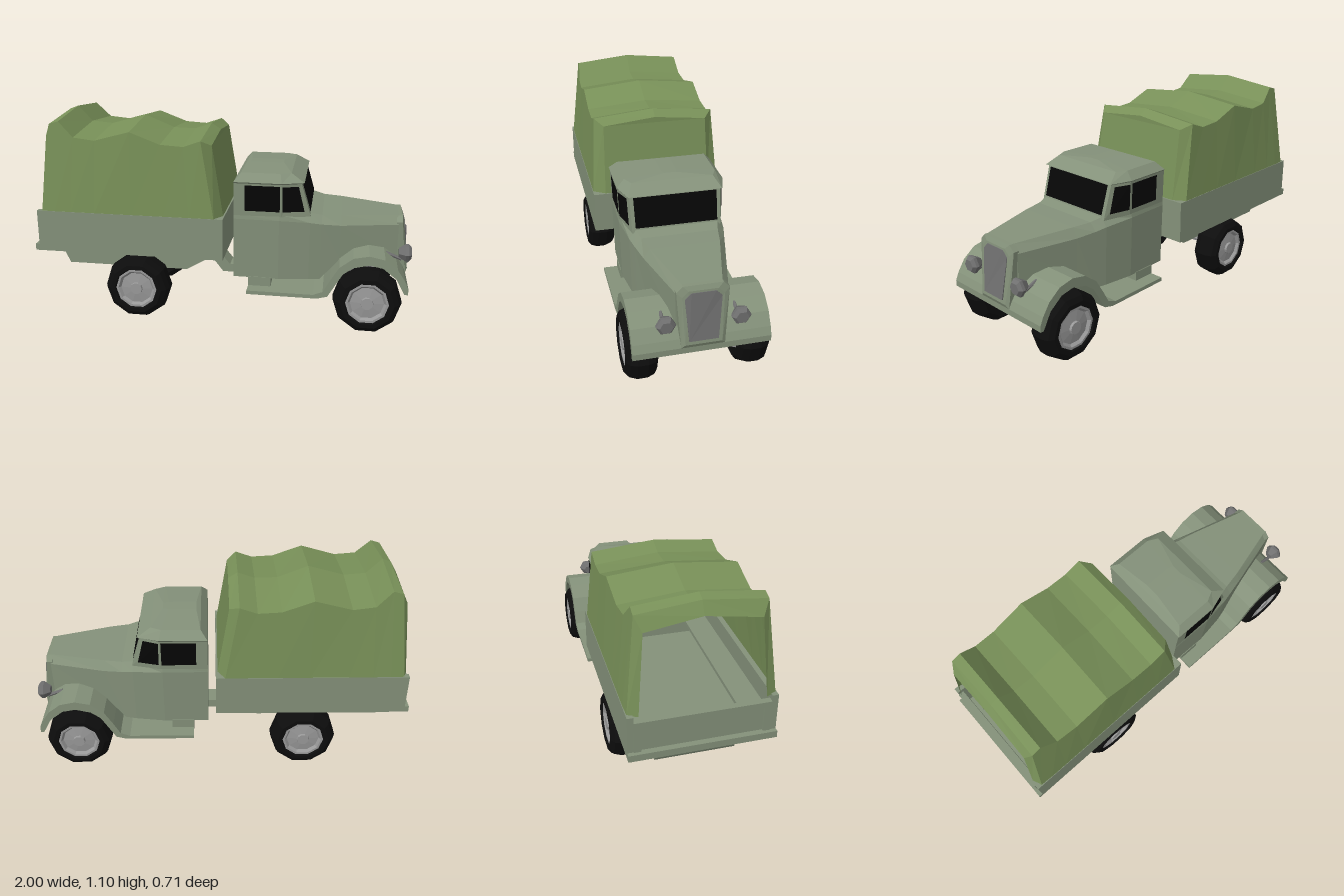
import * as THREE from 'three';

const mat = (name, color, side = THREE.FrontSide) => {
  const m = new THREE.MeshStandardMaterial({ color, side });
  m.name = name;
  return m;
};
const V = (x, y, z) => new THREE.Vector3(x, y, z);

// Faceted copy of a geometry
function flat(g) {
  const f = g.index ? g.toNonIndexed() : g;
  f.computeVertexNormals();
  return f;
}

// Skin through rings of points; closed rings get end caps and face outward
function loft(rings, closed = true) {
  const n = rings[0].length, t = [];
  for (let r = 0; r < rings.length - 1; r++) {
    for (let i = 0; i < (closed ? n : n - 1); i++) {
      const j = (i + 1) % n, a = rings[r], b = rings[r + 1];
      t.push([a[i], a[j], b[j]], [a[i], b[j], b[i]]);
    }
  }
  if (closed) {
    const a = rings[0], b = rings[rings.length - 1];
    for (let i = 1; i < n - 1; i++) t.push([a[0], a[i + 1], a[i]], [b[0], b[i], b[i + 1]]);
  }
  let volume = 0;
  for (const [a, b, c] of t) volume += a.dot(b.clone().cross(c));
  if (volume < 0) t.forEach((f) => f.reverse());
  return flat(new THREE.BufferGeometry().setFromPoints(t.flat()));
}

// Side outline extruded to a half width on both sides of the centre line
function slab(points, half) {
  const shape = new THREE.Shape(points.map(([x, y]) => new THREE.Vector2(x, y)));
  const g = new THREE.ExtrudeGeometry(shape, { depth: half * 2, bevelEnabled: false });
  return flat(g.translate(0, 0, -half));
}

export function createModel() {
  const root = new THREE.Group();
  root.name = 'truck';
  const body = mat('body grey green', 0x84917a);
  const cloth = mat('canvas green', 0x789058, THREE.DoubleSide);
  const rubber = mat('tyre black', 0x0d0d0d);
  const steel = mat('rim grey', 0x999999);
  const grey = mat('grille grey', 0x707070);
  const glass = mat('window black', 0x060606, THREE.DoubleSide);

  const add = (name, geo, m, parent = root) => {
    const mesh = new THREE.Mesh(geo, m);
    mesh.name = name;
    parent.add(mesh);
    return mesh;
  };
  // Box given by its limits
  const box = (name, x0, x1, y0, y1, z0, z1, m = body) =>
    add(name, new THREE.BoxGeometry(x1 - x0, y1 - y0, z1 - z0)
      .translate((x0 + x1) / 2, (y0 + y1) / 2, (z0 + z1) / 2), m);

  // Lower cab and tapering bonnet: x, top half width, half width, shoulder, top, bottom
  const hull = [
    [0.07, 0.262, 0.265, 0.58, 0.61, 0.25],
    [0.31, 0.262, 0.268, 0.58, 0.615, 0.25],
    [0.47, 0.21, 0.245, 0.57, 0.615, 0.25],
    [0.53, 0.195, 0.23, 0.56, 0.602, 0.25],
    [0.63, 0.175, 0.205, 0.55, 0.6, 0.36],
    [0.93, 0.095, 0.125, 0.545, 0.588, 0.36],
  ].map(([x, t, w, s, top, b]) => [
    V(x, top, t), V(x, s, w), V(x, b, w * 0.96), V(x, b, -w * 0.96), V(x, s, -w), V(x, top, -t)]);
  add('cabAndBonnet', loft(hull), body);

  // Upper cab and roof: y, back x, middle x, front x, half width, front half width
  const roof = [
    [0.6, 0.07, 0.32, 0.472, 0.264, 0.228],
    [0.775, 0.07, 0.32, 0.42, 0.271, 0.232],
    [0.782, 0.07, 0.32, 0.435, 0.276, 0.24],
    [0.825, 0.105, 0.31, 0.365, 0.237, 0.21],
    [0.836, 0.13, 0.28, 0.31, 0.04, 0.03],
  ].map(([y, b, m, f, w, wf]) => [
    V(b, y, w), V(m, y, w), V(f, y, wf), V(f, y, -wf), V(m, y, -w), V(b, y, -w)]);
  add('upperCab', loft(roof), body);

  // Window panes laid just outside the upper cab faces
  const pane = (name, i, u0, u1, v0, v1) => {
    const [lo, hi] = roof;
    const at = (u, v) => lo[i].clone().lerp(lo[i + 1], u).lerp(hi[i].clone().lerp(hi[i + 1], u), v);
    const q = [at(u0, v0), at(u1, v0), at(u1, v1), at(u0, v1)];
    const n = q[1].clone().sub(q[0]).cross(q[3].clone().sub(q[0])).normalize();
    q.forEach((p) => p.addScaledVector(n, 0.004));
    add(name, flat(new THREE.BufferGeometry().setFromPoints([q[0], q[1], q[2], q[0], q[2], q[3]])), glass);
  };
  pane('leftDoorWindow', 0, 0.24, 0.97, 0.16, 0.95);
  pane('leftQuarterWindow', 1, 0.04, 0.82, 0.16, 0.93);
  pane('windscreen', 2, 0.04, 0.96, 0.13, 0.98);
  pane('rightQuarterWindow', 3, 0.18, 0.96, 0.16, 0.93);
  pane('rightDoorWindow', 4, 0.03, 0.76, 0.16, 0.95);

  // Front fenders flowing into the running boards
  add('fendersAndRunningBoards', slab([
    [0.15, 0.205], [0.5, 0.205], [0.55, 0.225], [0.585, 0.29], [0.63, 0.365], [0.7, 0.42], [0.78, 0.437],
    [0.86, 0.42], [0.925, 0.37], [0.965, 0.31], [0.983, 0.27], [0.983, 0.238], [0.965, 0.238],
    [0.92, 0.32], [0.85, 0.375], [0.78, 0.388], [0.7, 0.368], [0.65, 0.33], [0.615, 0.27], [0.575, 0.2],
    [0.52, 0.185], [0.15, 0.185],
  ], 0.333), body);
  for (const s of [1, -1]) {
    const z = [s * 0.12, s * 0.26].sort((a, b) => a - b);
    box('runningBoardBracket', 0.15, 0.27, 0.2, 0.255, z[0], z[1]);
  }

  // Grille: frame, chamfered lip and inset panel
  const trap = (x0, x1, yb, yt, wb, wt) => [
    V(x0, yb, wb), V(x1, yt - 0.03, wt), V(x1, yt, wt - 0.03),
    V(x1, yt, -wt + 0.03), V(x1, yt - 0.03, -wt), V(x0, yb, -wb)];
  add('grilleFrame', loft([
    trap(0.91, 0.92, 0.27, 0.588, 0.105, 0.125),
    trap(0.983, 0.95, 0.27, 0.588, 0.105, 0.125),
    trap(0.992, 0.96, 0.29, 0.565, 0.088, 0.1),
  ]), body);
  add('grillePanel', loft([
    trap(0.985, 0.95, 0.31, 0.555, 0.07, 0.088),
    trap(0.995, 0.964, 0.31, 0.555, 0.07, 0.088),
  ]), grey);

  // Headlights on short stalks
  for (const s of [1, -1]) {
    const lamp = new THREE.Group();
    lamp.name = 'headlight';
    lamp.position.set(0.97, 0.41, s * 0.178);
    root.add(lamp);
    const shell = new THREE.LatheGeometry([[0, -0.035], [0.024, -0.035], [0.047, 0], [0.047, 0.015], [0.032, 0.03], [0, 0.03]]
      .map(([r, y]) => new THREE.Vector2(r, y)), 6);
    add('lampShell', flat(shell.rotateY(Math.PI / 6).rotateZ(-Math.PI / 2).rotateX(Math.PI / 2)), grey, lamp);
    add('lampStalk', flat(new THREE.CylinderGeometry(0.009, 0.009, 0.09, 6).rotateZ(1.2).translate(-0.06, -0.02, 0)), grey, lamp);
  }

  // Chassis
  add('chassisBeam', slab([[-0.12, 0.32], [-0.02, 0.19], [0.27, 0.19], [0.27, 0.235], [0.02, 0.235], [-0.05, 0.32]], 0.055), body);
  add('underBody', slab([[-0.93, 0.38], [-0.87, 0.25], [-0.2, 0.25], [0.025, 0.38]], 0.2), body);

  // Load bed
  box('bedFloor', -0.97, 0.02, 0.375, 0.4, -0.34, 0.34);
  box('bedFrontWall', -0.005, 0.027, 0.375, 0.6, -0.33, 0.33);
  for (const s of [1, -1]) {
    const span = (a, b) => (s > 0 ? [a, b] : [-b, -a]);
    box('bedSide', -0.978, 0.027, 0.375, 0.6, ...span(0.325, 0.355));
    box('bench', -0.93, -0.02, 0.48, 0.5, ...span(0.2, 0.325));
    box('tailgatePost', -0.982, -0.95, 0.41, 0.57, ...span(0.29, 0.325));
  }
  box('tailgate', -0.97, -0.95, 0.4, 0.57, -0.325, 0.325);
  box('tailgateTopRail', -0.982, -0.95, 0.54, 0.57, -0.325, 0.325);
  box('rearStep', -1, -0.95, 0.375, 0.41, -0.355, 0.355);

  // Canvas cover: base x, base half width, shoulder x, shoulder half width, shoulder y, ridge x, ridge y
  const cover = [
    [-0.97, 0.3, -0.93, 0.27, 0.99, -0.925, 1.03],
    [-0.95, 0.35, -0.895, 0.303, 1.06, -0.89, 1.09],
    [-0.88, 0.353, -0.845, 0.303, 1.075, -0.845, 1.107],
    [-0.79, 0.353, -0.765, 0.315, 0.995, -0.765, 1.025],
    [-0.66, 0.353, -0.65, 0.32, 0.983, -0.65, 1.015],
    [-0.46, 0.353, -0.46, 0.325, 1.035, -0.46, 1.068],
    [-0.29, 0.353, -0.3, 0.325, 0.975, -0.3, 1.003],
    [-0.15, 0.353, -0.18, 0.325, 0.968, -0.18, 1.0],
    [-0.02, 0.353, -0.09, 0.325, 1.0, -0.09, 1.032],
    [0.02, 0.29, -0.04, 0.28, 0.97, -0.04, 1.0],
  ].map(([xb, zb, xs, zs, ys, xr, yr]) => [
    V(xb, 0.595, zb), V(xs, ys, zs), V(xr, yr, 0), V(xs, ys, -zs), V(xb, 0.595, -zb)]);
  add('canvasCover', loft(cover, false), cloth);
  const f = cover[cover.length - 1];
  add('canvasFront', flat(new THREE.BufferGeometry().setFromPoints(
    [f[0], f[4], f[1], f[4], f[3], f[1], f[1], f[3], f[2]])), cloth);

  // Wheels and axles
  const turn = (pts) => flat(new THREE.LatheGeometry(pts.map(([r, y]) => new THREE.Vector2(r, y)), 10)
    .rotateY(Math.PI / 10).rotateX(Math.PI / 2));
  const tyre = turn([[0.1, -0.07], [0.14, -0.077], [0.165, -0.06], [0.178, -0.025], [0.178, 0.025],
    [0.165, 0.06], [0.14, 0.077], [0.118, 0.077], [0.108, 0.06]]);
  const rim = turn([[0, -0.07], [0.112, -0.07], [0.112, 0.068], [0.1, 0.068], [0.088, 0.054], [0.034, 0.06],
    [0.032, 0.072], [0, 0.072]]);
  for (const x of [-0.45, 0.78]) {
    for (const s of [1, -1]) {
      const wheel = new THREE.Group();
      wheel.name = x > 0 ? 'frontWheel' : 'rearWheel';
      wheel.position.set(x, 0.178, s * 0.275);
      if (s < 0) wheel.rotation.y = Math.PI;
      root.add(wheel);
      add('tyre', tyre, rubber, wheel);
      add('rim', rim, steel, wheel);
    }
    add('axle', flat(new THREE.CylinderGeometry(0.025, 0.025, 0.44, 8).rotateX(Math.PI / 2).translate(x, 0.18, 0)), steel);
  }
  return root;
}
